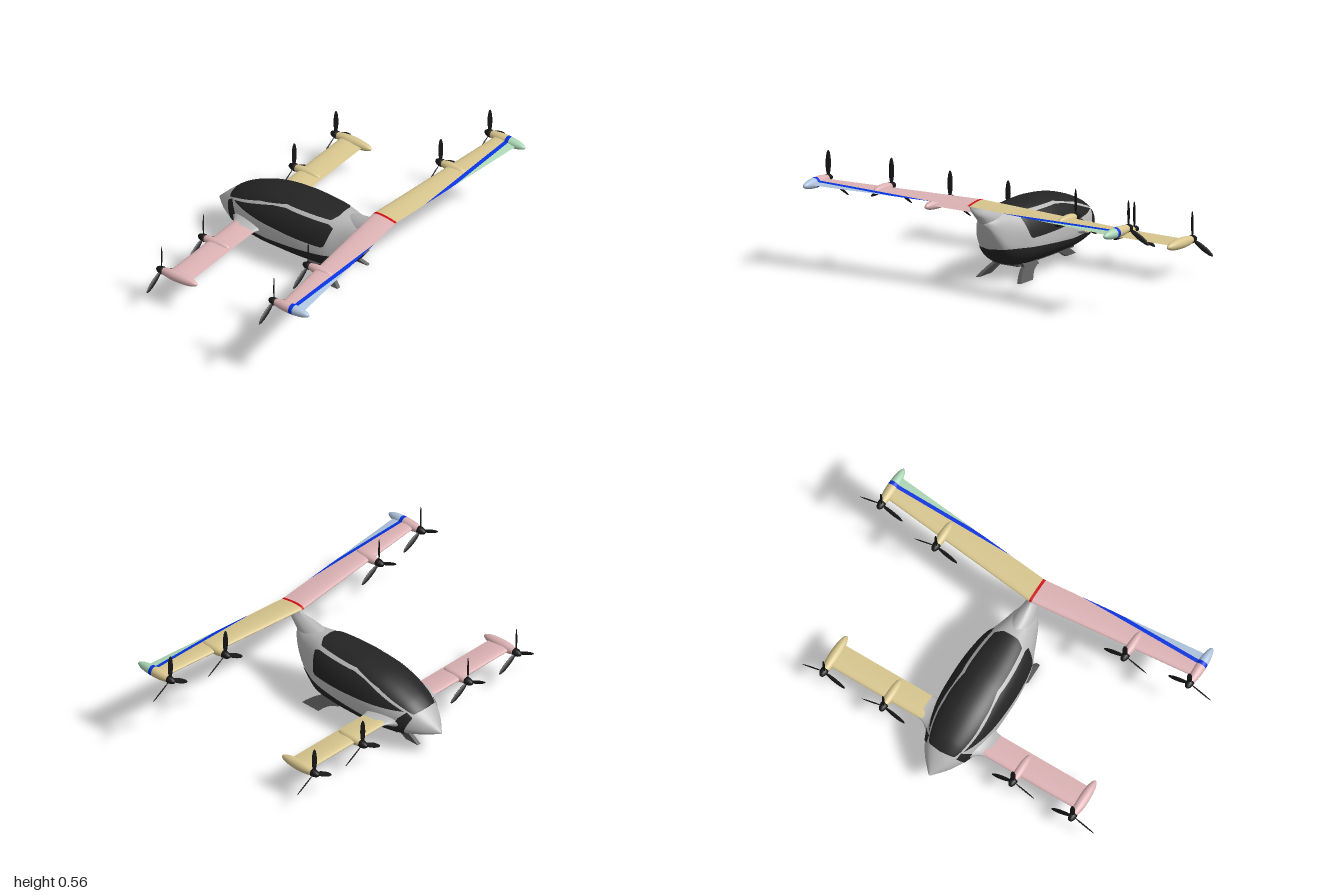
import * as THREE from 'three';
import { mergeVertices, mergeGeometries } from 'three/addons/utils/BufferGeometryUtils.js';

const paint = (name, color) => Object.assign(new THREE.MeshStandardMaterial({ color }), { name });

// Piecewise linear and smooth interpolation through [x, value] points
function linear(p) {
  return (x) => {
    let i = 0;
    while (i < p.length - 2 && x > p[i + 1][0]) i++;
    const t = THREE.MathUtils.clamp((x - p[i][0]) / (p[i + 1][0] - p[i][0]), 0, 1);
    return p[i][1] + (p[i + 1][1] - p[i][1]) * t;
  };
}
function smooth(p) {
  const slope = (i) => {
    const a = p[Math.max(i - 1, 0)], b = p[Math.min(i + 1, p.length - 1)];
    return (b[1] - a[1]) / (b[0] - a[0]);
  };
  return (x) => {
    let i = 0;
    while (i < p.length - 2 && x > p[i + 1][0]) i++;
    const h = p[i + 1][0] - p[i][0], t = (x - p[i][0]) / h, t2 = t * t, t3 = t2 * t;
    return (2 * t3 - 3 * t2 + 1) * p[i][1] + (t3 - 2 * t2 + t) * h * slope(i)
      + (3 * t2 - 2 * t3) * p[i + 1][1] + (t3 - t2) * h * slope(i + 1);
  };
}

// Surface from fn(u, v) -> [x, y, z], front side along du x dv
function surface(nu, nv, fn, flip = false) {
  const pos = [], idx = [];
  for (let i = 0; i <= nu; i++) for (let j = 0; j <= nv; j++) pos.push(...fn(i / nu, j / nv));
  for (let i = 0; i < nu; i++) for (let j = 0; j < nv; j++) {
    const a = i * (nv + 1) + j, b = a + nv + 1;
    if (flip) idx.push(a, b + 1, b, a, a + 1, b + 1);
    else idx.push(a, b, b + 1, a, b + 1, a + 1);
  }
  let g = new THREE.BufferGeometry();
  g.setAttribute('position', new THREE.Float32BufferAttribute(pos, 3));
  g.setIndex(idx);
  g = mergeVertices(g, 1e-5);
  g.computeVertexNormals();
  return g;
}

// Fuselage stations: x, bottom, top, half width
const stations = [
  [-0.6, 0.134, 0.142, 0.004], [-0.52, 0.11, 0.22, 0.075], [-0.43, 0.086, 0.283, 0.122],
  [-0.28, 0.067, 0.34, 0.156], [-0.12, 0.064, 0.364, 0.164], [0, 0.064, 0.367, 0.16],
  [0.12, 0.066, 0.366, 0.141], [0.2, 0.09, 0.362, 0.108], [0.25, 0.125, 0.358, 0.088],
  [0.3, 0.2, 0.35, 0.066], [0.34, 0.28, 0.335, 0.035], [0.355, 0.312, 0.318, 0.008]];
const [bottom, top, width] = [1, 2, 3].map((k) => smooth(stations.map((s) => [s[0], s[k]])));
const pow = (v) => Math.sign(v) * Math.abs(v) ** 0.87;
function hull(x, a, out = 0) {
  const b = bottom(x), h = top(x) - b, s = Math.sin(a);
  const r = (s < 0 ? 0.38 : 0.62) * h + out;
  return [x, b + 0.38 * h + r * pow(s), (width(x) + out) * pow(Math.cos(a))];
}
function hullAngle(x, y) {
  const b = bottom(x), h = top(x) - b, d = y - b - 0.38 * h;
  const s = Math.min(Math.abs(d) / ((d < 0 ? 0.38 : 0.62) * h), 1) ** (1 / 0.87);
  return Math.sign(d) * Math.asin(s);
}
// Thin panel lying on the hull between two height limits
function hullPatch(x0, x1, low, high, side) {
  return surface(100, 14, (u, v) => {
    const x = x0 + (x1 - x0) * u, a = hullAngle(x, low(x)), b = Math.max(a, hullAngle(x, high(x)));
    const p = hull(x, a + (b - a) * v, 0.003);
    return [p[0], p[1], p[2] * side];
  }, side < 0);
}

// Piece of an airfoil wing between x limits that vary along the span
function wingPanel({ side, y, z0, z1, lead, trail, from = lead, to = trail, lift = 0 }) {
  const skin = (s) => surface(12, 14, (u, v) => {
    const z = z0 + (z1 - z0) * u, a = from(z), b = Math.max(a, Math.min(to(z), trail(z)));
    const x = a + (b - a) * v ** 1.8, c = trail(z) - lead(z);
    const f = THREE.MathUtils.clamp((x - lead(z)) / c, 0, 1);
    const t = 0.95 * c * (0.2969 * Math.sqrt(f) - 0.126 * f - 0.3516 * f * f + 0.2843 * f ** 3 - 0.1015 * f ** 4);
    return [x, y + s * (t + lift), side * z];
  }, s * side < 0);
  return mergeGeometries([skin(1), skin(-1)]);
}

// Pod of revolution along x, optionally only the part between a and b
function podGeometry(x0, x1, R, a = x0, b = x1) {
  const pts = [];
  for (let i = 0; i <= 20; i++) {
    const x = a + (b - a) * Math.sin((i / 20) * Math.PI / 2), f = Math.min((x - x0) / (x1 - x0), 1);
    const r = f < 0.4 ? 0.62 + 0.38 * Math.sin(f / 0.4 * Math.PI / 2) : Math.sqrt(Math.max(0, 1 - ((f - 0.4) / 0.6) ** 2.2));
    pts.push(new THREE.Vector2(R * r, x));
  }
  return new THREE.LatheGeometry(pts, 20).rotateZ(-Math.PI / 2);
}

export function createModel() {
  const model = new THREE.Group();
  const grey = paint('body grey', 0xb8b8b8), black = paint('glass black', 0x242424);
  const gear = paint('gear grey', 0x555555), rotorBlack = paint('rotor black', 0x161616);
  const pink = paint('pink', 0xdcb2b4), tan = paint('tan', 0xd8c68e);
  const paleBlue = paint('pale blue', 0xaec4de), green = paint('pale green', 0xacd6b6);
  const blue = paint('stripe blue', 0x0433e0), red = paint('stripe red', 0xd00a14);
  const add = (name, geo, mat, parent = model) => {
    const m = new THREE.Mesh(geo, mat);
    m.name = name;
    parent.add(m);
    return m;
  };

  // Fuselage and tail pylon
  add('fuselage', surface(100, 56, (u, v) => hull(-0.6 + 0.955 * u, (v * 2 - 0.5) * Math.PI)), grey);
  const levels = [[0.3, 0.08, 0.345, 0.06], [0.34, 0.14, 0.38, 0.048], [0.365, 0.2, 0.41, 0.034],
    [0.385, 0.285, 0.43, 0.02], [0.4, 0.335, 0.445, 0.013], [0.425, 0.36, 0.455, 0.012]];
  const [px0, px1, pz] = [1, 2, 3].map((k) => smooth(levels.map((l) => [l[0], l[k]])));
  add('tailPylon', surface(20, 28, (u, v) => {
    const y = 0.3 + 0.125 * u, a = v * Math.PI * 2, p = px0(y), q = px1(y);
    return [(p + q) / 2 + (q - p) / 2 * Math.cos(a), y, pz(y) * Math.sin(a)];
  }), grey);

  // Edges of the dark panels, as heights along the body
  const roofLow = linear([[-0.5, 0.24], [-0.485, 0.225], [-0.43, 0.25], [-0.28, 0.305], [-0.12, 0.341], [0.13, 0.343], [0.155, 0.36]]);
  const windowLow = linear([[-0.44, 0.236], [-0.12, 0.222], [0.115, 0.213], [0.13, 0.222], [0.157, 0.315]]);
  const windowHigh = linear([[-0.44, 0.237], [-0.28, 0.292], [-0.2, 0.316], [-0.12, 0.329], [0.13, 0.328], [0.157, 0.316]]);
  const bellyLow = linear([[-0.485, 0.21], [-0.455, 0.14], [-0.43, 0.06], [0.3, 0.06]]);
  const bellyHigh = linear([[-0.485, 0.212], [-0.455, 0.235], [-0.42, 0.2], [-0.4, 0.15], [-0.2, 0.148], [0, 0.163], [0.285, 0.178]]);
  const above = () => 1;

  for (const side of [1, -1]) {
    const half = new THREE.Group();
    half.name = side > 0 ? 'leftSide' : 'rightSide';
    model.add(half);
    const main = side > 0 ? pink : tan, tail = side > 0 ? paleBlue : green;
    const put = (name, geo, mat) => add(name, geo, mat, half);

    put('roofGlass', hullPatch(-0.5, 0.155, roofLow, above, side), black);
    put('sideWindow', hullPatch(-0.44, 0.157, windowLow, windowHigh, side), black);
    put('bellyPanel', hullPatch(-0.485, 0.285, bellyLow, bellyHigh, side), black);

    // Front wing with flared root
    put('frontWing', wingPanel({ side, y: 0.175, z0: 0.12, z1: 0.71, lead: () => -0.387, trail: () => -0.255 }), main);
    put('wingRoot', surface(12, 24, (u, v) => {
      const k = (1 - u) ** 2, a = v * Math.PI * 2;
      return [-0.321 + (0.067 + 0.06 * k) * Math.cos(a), 0.175 - 0.012 * k + (0.013 + 0.038 * k) * Math.sin(a), side * (0.11 + 0.085 * u)];
    }, side > 0 ? true : false), grey).material.side = THREE.DoubleSide;

    // Rear wing, painted in bands of constant x
    const lead = (z) => 0.33 + 0.102 * z, trail = (z) => 0.465 + 0.0966 * z;
    const rear = { side, y: 0.425, z1: 0.89, lead, trail };
    put('rearWing', wingPanel({ ...rear, z0: 0, to: () => 0.485 }), main);
    put('rearWingStripe', wingPanel({ ...rear, z0: 0.207, from: () => 0.485, to: () => 0.505 }), blue);
    put('rearWingEdge', wingPanel({ ...rear, z0: 0.414, from: () => 0.505 }), tail);
    put('centreStripe', wingPanel({ ...rear, z0: 0, z1: 0.007, lift: 0.001 }), red);

    // Motor pods
    const pod = (name, geo, mat, y, z) => put(name, geo, mat).position.set(0, y, side * z);
    pod('frontInnerPod', podGeometry(-0.42, -0.265, 0.024), main, 0.175, 0.37);
    pod('frontTipPod', podGeometry(-0.42, -0.21, 0.027), main, 0.175, 0.71);
    pod('rearInnerPod', podGeometry(0.34, 0.485, 0.024), main, 0.425, 0.54);
    pod('rearTipPod', podGeometry(0.385, 0.593, 0.027, 0.385, 0.485), main, 0.425, 0.88);
    pod('rearTipPodStripe', podGeometry(0.385, 0.593, 0.027, 0.485, 0.505), blue, 0.425, 0.88);
    pod('rearTipPodEnd', podGeometry(0.385, 0.593, 0.027, 0.505, 0.593), tail, 0.425, 0.88);

    // Rotors: spinner and three twisted blades
    for (const [x, y, z] of [[-0.425, 0.175, 0.37], [-0.425, 0.175, 0.71], [0.335, 0.425, 0.54], [0.38, 0.425, 0.88]]) {
      const rotor = new THREE.Group();
      rotor.name = 'rotor';
      rotor.position.set(x, y, side * z);
      half.add(rotor);
      const nose = [[0, -0.03], [0.009, -0.027], [0.016, -0.016], [0.02, 0], [0.02, 0.012], [0, 0.012]];
      add('spinner', new THREE.LatheGeometry(nose.map((p) => new THREE.Vector2(...p)), 16).rotateZ(-Math.PI / 2), rotorBlack, rotor);
      for (let i = 0; i < 3; i++) {
        const blade = new THREE.SphereGeometry(1, 12, 10).scale(0.003, 0.066, 0.013)
          .rotateY(side * 0.5).translate(0, 0.074, 0).rotateX(i * Math.PI * 2 / 3);
        add('blade', blade, rotorBlack, rotor);
      }
    }
  }

  // Landing gear: one front leg, two splayed rear legs and a keel plate
  function leg(name, x0, x1, topNear, topFar, lean) {
    const s = new THREE.Shape();
    s.moveTo(x0, 0);
    s.lineTo(x1, 0);
    s.quadraticCurveTo(x1 + (topNear - x1) * 0.45, 0.05, topNear, 0.056);
    s.lineTo(topNear, 0.085);
    s.lineTo(topFar, 0.085);
    s.lineTo(topFar, 0.06);
    s.quadraticCurveTo(topFar + (x0 - topFar) * 0.35, 0.05, x0, 0);
    const g = new THREE.ExtrudeGeometry(s, { depth: 0.02, bevelEnabled: false, curveSegments: 10 }).translate(0, 0, -0.01);
    const p = g.attributes.position;
    for (let i = 0; i < p.count; i++) p.setZ(i, p.getZ(i) + lean * (0.122 - 0.6 * p.getY(i)));
    g.computeVertexNormals();
    add(name, g, gear).material.side = THREE.DoubleSide;
  }
  leg('frontLeg', -0.45, -0.37, -0.2, -0.345, 0);
  leg('rearLeftLeg', 0.21, 0.1, 0, 0.12, 1);
  leg('rearRightLeg', 0.21, 0.1, 0, 0.12, -1);
  add('keelPlate', new THREE.BoxGeometry(0.48, 0.014, 0.12), gear).position.set(-0.12, 0.063, 0);
  return model;
}
